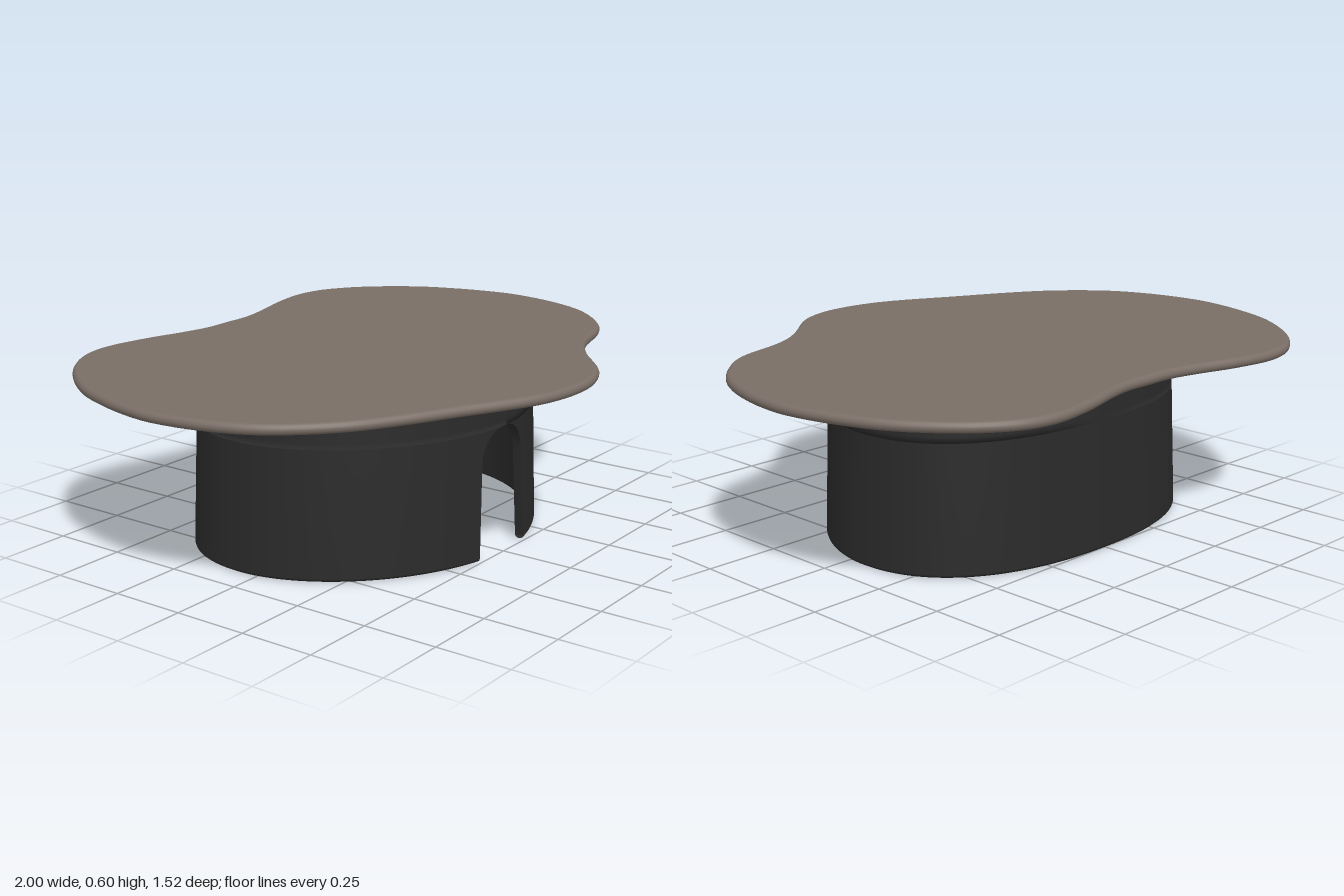
import * as THREE from 'three';
import { mergeGeometries } from 'three/addons/utils/BufferGeometryUtils.js';
import { ParametricGeometry } from 'three/addons/geometries/ParametricGeometry.js';

const TOP = 0.6, EDGE = 0.0175;       // table top height, half thickness of the slab
const ARCH = 0.425, RIM = 0.012;      // arch height, rounding of the bottom rim
const BASE_TOP = 0.575, WALL = 0.03, CENTRE_Z = -0.06;

const sheet = (fn, nu, nv) => new ParametricGeometry(fn, nu, nv);

// Slab with a free-form outline and a rounded edge
function topGeometry() {
  const outline = [
    [0, -0.675], [0.1, -0.675], [0.2, -0.695], [0.35, -0.737], [0.5, -0.76], [0.6, -0.747], [0.68, -0.71],
    [0.78, -0.63], [0.9, -0.47], [0.96, -0.32], [0.993, -0.18], [1, -0.08], [0.97, 0.1], [0.9, 0.26],
    [0.77, 0.395], [0.69, 0.437], [0.57, 0.47], [0.48, 0.505], [0.38, 0.57], [0.22, 0.705], [0.1, 0.75],
    [0, 0.757], [-0.1, 0.745], [-0.2, 0.715], [-0.42, 0.605], [-0.6, 0.515], [-0.75, 0.42], [-0.9, 0.26],
    [-0.97, 0.1], [-1, -0.08], [-0.993, -0.18], [-0.96, -0.32], [-0.9, -0.47], [-0.78, -0.63],
    [-0.68, -0.71], [-0.6, -0.747], [-0.5, -0.76], [-0.35, -0.737], [-0.2, -0.695], [-0.1, -0.675],
  ].map(([x, z]) => new THREE.Vector3(x, 0, z));
  const curve = new THREE.CatmullRomCurve3(outline, true);
  const steps = 160;

  const edgePoint = (u, v, target) => {
    const p = curve.getPoint(u), t = curve.getTangent(u);
    const off = EDGE * (Math.sin(Math.PI * v) - 1);
    target.set(p.x + t.z * off, TOP - EDGE + EDGE * Math.cos(Math.PI * v), p.z - t.x * off);
  };
  const inset = [];
  for (let i = 0; i < steps; i++) {
    const p = new THREE.Vector3();
    edgePoint(i / steps, 0, p);
    inset.push(p);
  }
  const cap = (sign, y) => new THREE.ShapeGeometry(
    new THREE.Shape(inset.map((p) => new THREE.Vector2(p.x, -sign * p.z)))
  ).rotateX(-sign * Math.PI / 2).translate(0, y, 0);

  return mergeGeometries([sheet(edgePoint, steps, 8), cap(1, TOP), cap(-1, TOP - 2 * EDGE)]);
}

// Half width of the arched opening at height y
function archHalfWidth(y) {
  if (y >= ARCH) return 0;
  if (y < 0.3) return 0.13 - 0.015 * (y / 0.3);
  return 0.115 * Math.pow(1 - Math.pow((y - 0.3) / (ARCH - 0.3), 2.2), 1 / 2.2);
}

// Point on the tapered wall: t runs round from one arch side to the other, k from outside to inside
function wallPoint(t, y, k, target) {
  const f = y / BASE_TOP;
  const a = 0.655 - 0.022 * f - WALL * k;
  const front = 0.57 - 0.02 * f - WALL * k, back = 0.45 - 0.025 * f - WALL * k;
  const pFront = 1.83, pBack = 2.33;
  const start = Math.asin(Math.pow(archHalfWidth(y) / a, pFront / 2));
  const angle = start + t * (2 * Math.PI - 2 * start);
  const s = Math.sin(angle), c = Math.cos(angle);
  const p = c >= 0 ? pFront : pBack;
  const bow = (value) => Math.sign(value) * Math.pow(Math.abs(value), 2 / p);
  target.set(a * bow(s), y, CENTRE_Z + (c >= 0 ? front : back) * bow(c));
}

// Rows crowd together towards the crown of the arch
function rowHeight(v) {
  return v < 0.75
    ? RIM + (ARCH - RIM) * Math.sin((v / 0.75) * Math.PI / 2)
    : ARCH + (BASE_TOP - ARCH) * (v - 0.75) / 0.25;
}

// Hollow shell: outside, inside, rounded bottom rim and the two sides of the arch
function baseGeometry() {
  const round = 128;
  return mergeGeometries([
    sheet((u, v, target) => wallPoint(u, rowHeight(v), 0, target), round, 32),
    sheet((u, v, target) => wallPoint(u, rowHeight(1 - v), 1, target), round, 32),
    sheet((u, v, target) => wallPoint(
      u, RIM * (1 - Math.sin(Math.PI * v)), (1 + Math.cos(Math.PI * v)) / 2, target), round, 6),
    sheet((u, v, target) => wallPoint(0, rowHeight(u * 0.75), v, target), 24, 1),
    sheet((u, v, target) => wallPoint(1, rowHeight(u * 0.75), 1 - v, target), 24, 1),
  ]);
}

export function createModel() {
  const topMaterial = new THREE.MeshStandardMaterial({ color: 0x7a6e66 });
  topMaterial.name = 'taupe';
  const baseMaterial = new THREE.MeshStandardMaterial({ color: 0x2a2a2a, side: THREE.DoubleSide });
  baseMaterial.name = 'charcoal';

  const model = new THREE.Group();
  model.name = 'coffeeTable';
  const top = new THREE.Mesh(topGeometry(), topMaterial);
  top.name = 'tableTop';
  const base = new THREE.Mesh(baseGeometry(), baseMaterial);
  base.name = 'archedBase';
  model.add(top, base);
  return model;
}
